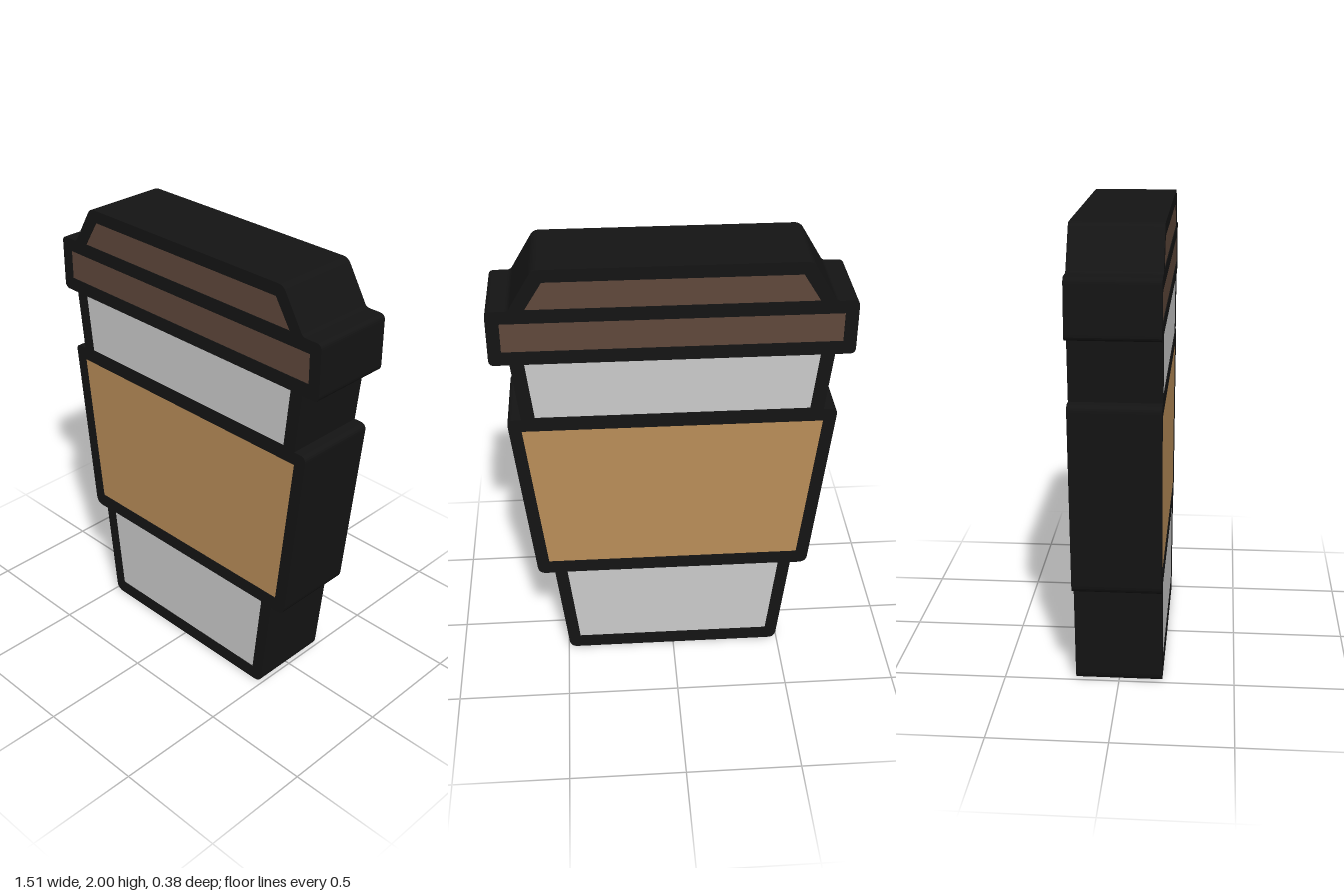
import * as THREE from 'three';

const DEPTH = 0.376;

// Mirror a right-hand profile of [halfWidth, y, cornerRadius] into a closed loop
function mirrored(profile) {
  return [...profile, ...profile.slice().reverse().map(([x, y, r]) => [-x, y, r])];
}

// Trace a closed loop, rounding each corner by its radius
function trace(path, loop) {
  const pts = loop.map(([x, y]) => new THREE.Vector2(x, y));
  pts.forEach((p, i) => {
    const r = loop[i][2] || 0;
    const toward = (q) => q.clone().sub(p).setLength(r).add(p);
    const a = toward(pts[(i + pts.length - 1) % pts.length]);
    const b = toward(pts[(i + 1) % pts.length]);
    if (i === 0) path.moveTo(a.x, a.y);
    else path.lineTo(a.x, a.y);
    if (r) path.quadraticCurveTo(p.x, p.y, b.x, b.y);
  });
  path.closePath();
  return path;
}

function slab(name, shape, depth, color) {
  const geometry = new THREE.ExtrudeGeometry(shape, { depth, bevelEnabled: false, curveSegments: 5 });
  geometry.translate(0, 0, -depth / 2);
  const mesh = new THREE.Mesh(geometry, new THREE.MeshStandardMaterial({ color }));
  mesh.name = name;
  return mesh;
}

export function createModel() {
  const group = new THREE.Group();
  group.name = 'takeawayCup';

  // Silhouette from base to lid top
  const silhouette = mirrored([
    [0.492, 0, 0.035], [0.543, 0.465, 0], [0.617, 0.465, 0.035], [0.705, 1.305, 0.03],
    [0.643, 1.305, 0], [0.672, 1.575, 0], [0.757, 1.575, 0.025], [0.757, 1.822, 0.025],
    [0.664, 1.822, 0.015], [0.558, 2, 0.025],
  ]);

  // Coloured panels: [name, bottom half width, bottom y, top half width, top y, colour]
  const panels = [
    ['lowerCup', 0.443, 0.065, 0.487, 0.467, 0xcccccc],
    ['sleeve', 0.567, 0.53, 0.645, 1.247, 0xb98d59],
    ['upperCup', 0.585, 1.313, 0.613, 1.575, 0xcccccc],
    ['lidRim', 0.702, 1.635, 0.702, 1.765, 0x5f483b],
    ['lidTop', 0.597, 1.825, 0.522, 1.945, 0x5f483b],
  ];

  // Thick dark outline with an opening for every panel
  const outline = trace(new THREE.Shape(), silhouette);

  // Panels fill the openings, set back a hair on both faces
  for (const [name, x0, y0, x1, y1, color] of panels) {
    const loop = mirrored([[x0, y0], [x1, y1]]);
    outline.holes.push(trace(new THREE.Path(), loop));
    group.add(slab(name, trace(new THREE.Shape(), loop), DEPTH - 0.006, color));
  }
  group.add(slab('outline', outline, DEPTH, 0x141414));

  return group;
}
